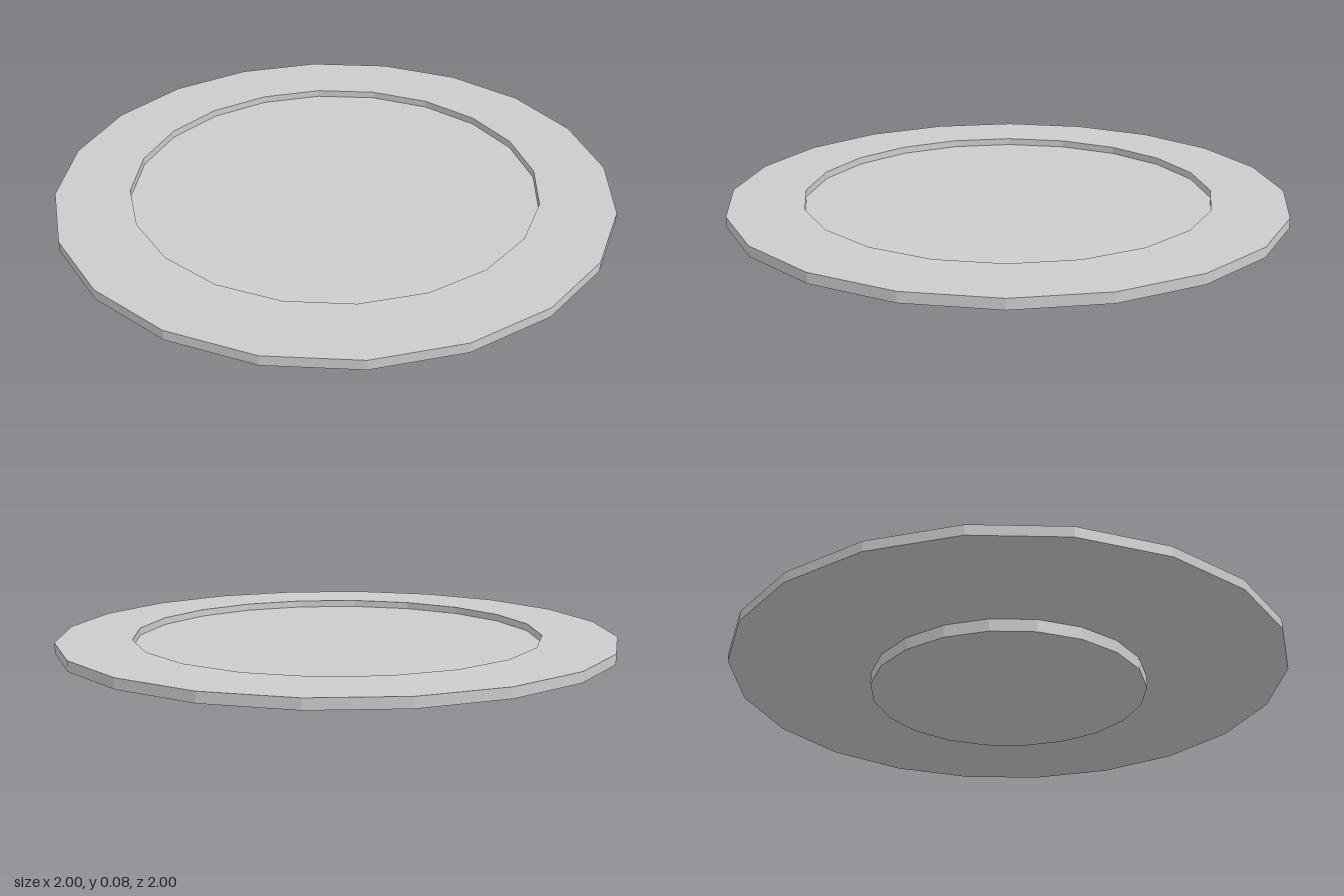
import * as THREE from 'three';

const SIDES = 20;

export function createModel() {
  const group = new THREE.Group();
  const material = new THREE.MeshStandardMaterial({ color: 0xcccccc, flatShading: true });

  // Revolves a [radius, height] profile, listed from the bottom centre outwards and up
  const addTurned = (name, profile) => {
    const points = profile.map(([r, y]) => new THREE.Vector2(r, y));
    const mesh = new THREE.Mesh(new THREE.LatheGeometry(points, SIDES), material);
    mesh.name = name;
    group.add(mesh);
  };

  // Base ring: closed disc below, open where it meets the plate
  addTurned('foot', [[0, 0], [0.5, 0], [0.5, 0.045]]);

  // Wide flat rim around a shallow recessed floor
  addTurned('plate', [
    [0, 0.045], [1, 0.045], [1, 0.081],
    [0.735, 0.081], [0.735, 0.055], [0, 0.055],
  ]);

  return group;
}
